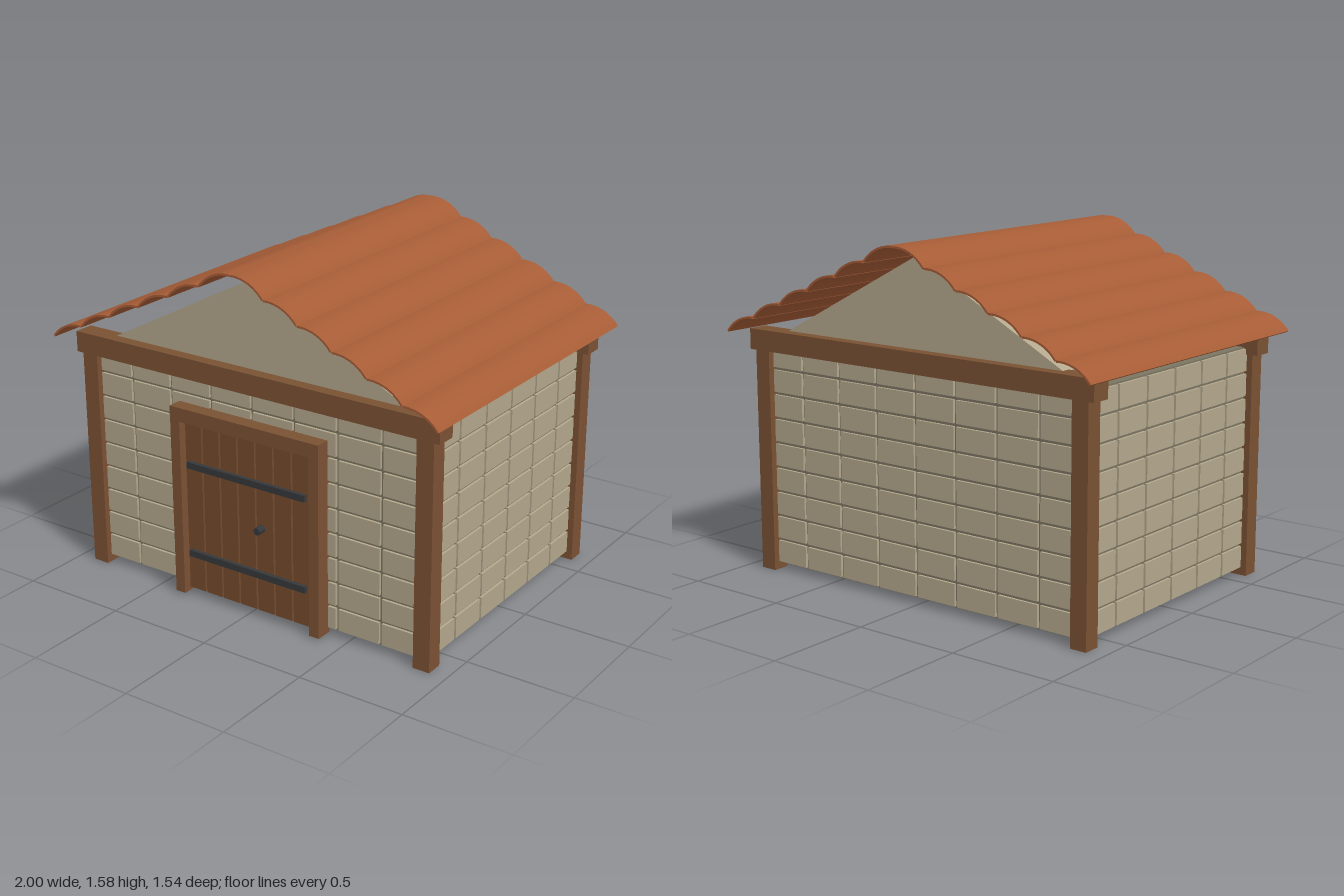
import * as THREE from 'three';
import { toCreasedNormals } from 'three/addons/utils/BufferGeometryUtils.js';

const mat = (name, color) => {
  const m = new THREE.MeshStandardMaterial({ color });
  m.name = name;
  return m;
};

export function createModel() {
  const stone = mat('stone', 0xb3a78c);
  const mortar = mat('mortar', 0x7b7562);
  const timber = mat('timber', 0x7a5133);
  const plankWood = mat('door wood', 0x734a2d);
  const tile = mat('roof tile', 0xa65c36);
  const iron = mat('iron', 0x35383b);

  const model = new THREE.Group();
  model.name = 'shed';
  const group = (name) => {
    const g = new THREE.Group();
    g.name = name;
    model.add(g);
    return g;
  };
  const box = (parent, name, m, w, h, d, x, y, z) => {
    const mesh = new THREE.Mesh(new THREE.BoxGeometry(w, h, d), m);
    mesh.name = name;
    mesh.position.set(x, y, z);
    parent.add(mesh);
    return mesh;
  };

  // Walls: a mortar core covered with a grid of stone blocks
  const walls = group('walls');
  const halfX = 0.88, halfZ = 0.63, base = 0.03, rows = 9, rowH = 0.1145;
  const wallH = rows * rowH, gap = 0.014, relief = 0.012;
  box(walls, 'wallCore', mortar, halfX * 2, wallH, halfZ * 2, 0, base + wallH / 2, 0);
  for (let r = 0; r < rows; r++) {
    const y = base + (r + 0.5) * rowH;
    for (const s of [-1, 1]) {
      for (let c = 0; c < 8; c++) {
        box(walls, 'stoneBlock', stone, 0.22 - gap, rowH - gap, relief * 2, -halfX + (c + 0.5) * 0.22, y, s * halfZ);
      }
      for (let c = 0; c < 6; c++) {
        box(walls, 'stoneBlock', stone, relief * 2, rowH - gap, 0.21 - gap, s * halfX, y, -halfZ + (c + 0.5) * 0.21);
      }
    }
  }

  // Gable prism under the roof
  const gableShape = new THREE.Shape([
    new THREE.Vector2(-0.765, 1.12), new THREE.Vector2(0.765, 1.12), new THREE.Vector2(0, 1.52),
  ]);
  const gable = new THREE.Mesh(
    new THREE.ExtrudeGeometry(gableShape, { depth: 1.24, bevelEnabled: false }).translate(0, 0, -0.62), stone);
  gable.name = 'gable';
  model.add(gable);

  // Corner posts and the beams across front and back
  const frame = group('timberFrame');
  for (const sz of [-1, 1]) {
    for (const sx of [-1, 1]) box(frame, 'cornerPost', timber, 0.08, 1.03, 0.08, sx * 0.88, 0.515, sz * 0.63);
    box(frame, 'beam', timber, 1.9, 0.095, 0.095, 0, 1.0755, sz * 0.628);
  }

  // Door: frame, planks, hinge straps and knob
  const door = group('door');
  for (const s of [-1, 1]) box(door, 'doorJamb', timber, 0.05, 0.83, 0.08, s * 0.367, 0.425, 0.67);
  box(door, 'doorLintel', timber, 0.786, 0.064, 0.08, 0, 0.871, 0.67);
  for (let i = 0; i < 7; i++) {
    box(door, 'doorPlank', plankWood, 0.087, 0.8, 0.045, (i - 3) * 0.0955, 0.436, 0.6625);
  }
  for (const y of [0.215, 0.64]) box(door, 'hingeStrap', iron, 0.63, 0.03, 0.02, 0, y, 0.693);
  const knob = new THREE.Mesh(new THREE.CylinderGeometry(0.017, 0.017, 0.045, 12).rotateX(Math.PI / 2), iron);
  knob.name = 'doorKnob';
  knob.position.set(0.08, 0.435, 0.703);
  door.add(knob);

  // Roof: curved tile strips stepping down both slopes
  const roof = group('roof');
  const strips = 6, run = 1 / strips, drop = 0.0757, sag = 0.023, thick = 0.009;
  const chord = Math.hypot(run, drop);
  const radius = (chord * chord / 4 + sag * sag) / (2 * sag);
  const half = Math.asin(chord / 2 / radius);
  const tilt = Math.atan2(drop, run);
  const profile = [];
  for (const [r, dir] of [[radius, 1], [radius - thick, -1]]) {
    for (let k = 0; k <= 10; k++) {
      const a = dir * half * (1 - k / 5) + Math.PI / 2 - tilt;
      profile.push(new THREE.Vector2(
        r * Math.cos(a) - (radius - sag) * Math.sin(tilt),
        r * Math.sin(a) - (radius - sag) * Math.cos(tilt)));
    }
  }
  for (const side of [1, -1]) {
    const shape = new THREE.Shape(profile.map((p) => new THREE.Vector2(side * p.x, p.y)));
    const geo = toCreasedNormals(
      new THREE.ExtrudeGeometry(shape, { depth: 1.536, bevelEnabled: false }).translate(0, 0, -0.768), 0.6);
    for (let i = 0; i < strips; i++) {
      const strip = new THREE.Mesh(geo, tile);
      strip.name = 'roofTileStrip';
      strip.position.set(side * (i + 0.5) * run, 1.575 - (i + 0.5) * drop, 0);
      roof.add(strip);
    }
  }
  return model;
}
